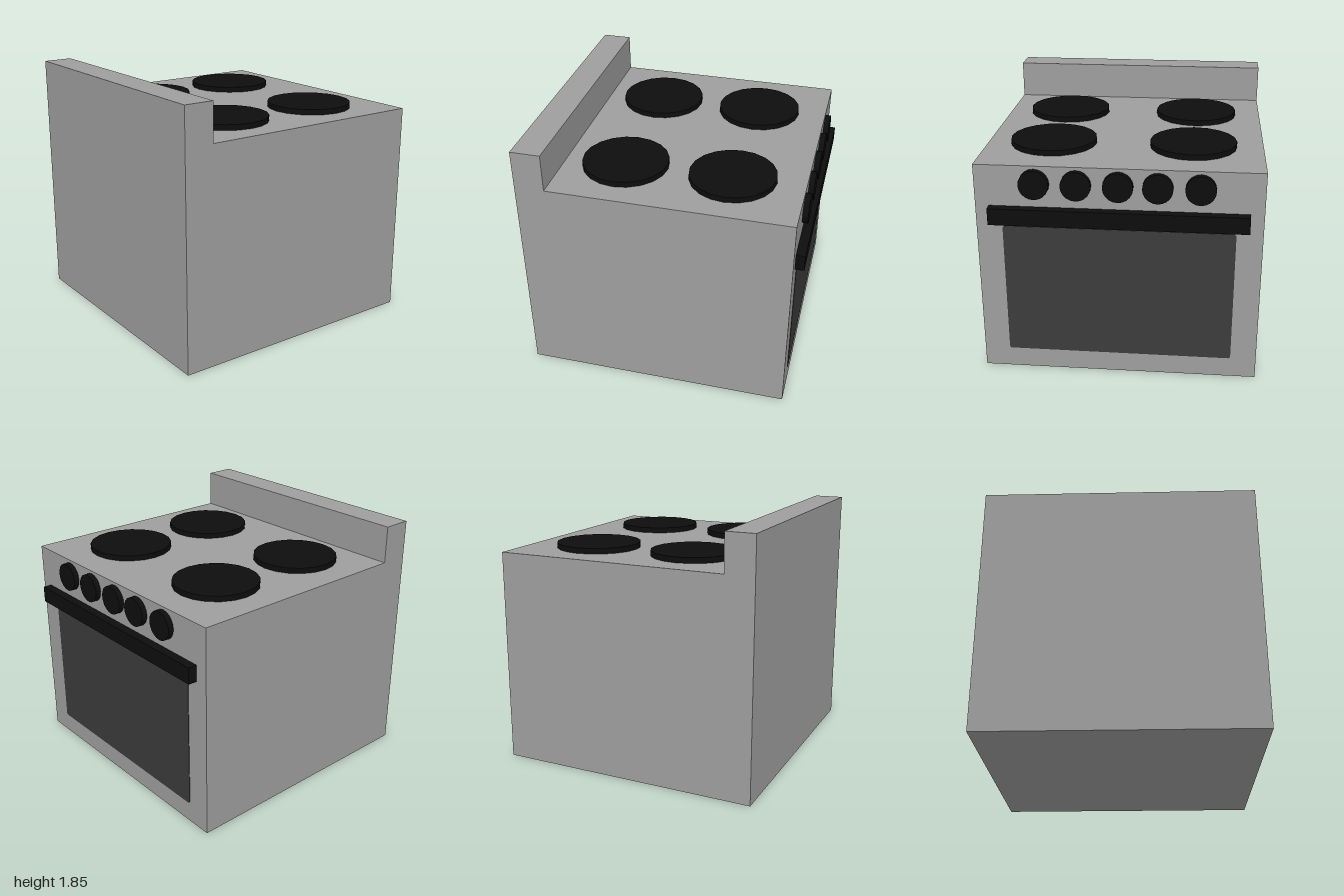
import * as THREE from 'three';

const steel = new THREE.MeshStandardMaterial({ name: 'steel grey', color: 0x9e9e9e });
const black = new THREE.MeshStandardMaterial({ name: 'black', color: 0x0d0d0d });
const glass = new THREE.MeshStandardMaterial({ name: 'dark glass', color: 0x3b3b3b });
for (const m of [steel, black, glass]) m.flatShading = false;

export function createModel() {
  const group = new THREE.Group();
  const add = (name, geometry, material, x = 0, y = 0, z = 0) => {
    const mesh = new THREE.Mesh(geometry, material);
    mesh.name = name;
    mesh.position.set(x, y, z);
    group.add(mesh);
    return mesh;
  };
  const outline = (points) => new THREE.Shape(points.map(([x, y]) => new THREE.Vector2(x, y)));

  const halfWidth = 0.985, face = 0.935, topY = 1.575;

  // Cabinet: side profile with raised backsplash and a step for the oven door
  const profile = outline([
    [-1, 0], [0.85, 0], [0.85, 1.3], [face, 1.3], [face, topY],
    [-0.785, topY], [-0.785, 1.85], [-1, 1.85],
  ]);
  add('cabinet', new THREE.ExtrudeGeometry(profile, { depth: 2 * halfWidth, bevelEnabled: false }),
    steel, 0, 0, -halfWidth);

  // Oven door, flush with the control panel
  add('ovenDoor', new THREE.BoxGeometry(face - 0.85, 1.3, 2 * halfWidth), steel, (face + 0.85) / 2, 0.65, 0);

  // Window: thin plate with clipped corners
  const w = 0.803, h = 0.49, c = 0.012;
  const pane = outline([
    [-w + c, -h], [w - c, -h], [w, -h + c], [w, h - c],
    [w - c, h], [-w + c, h], [-w, h - c], [-w, -h + c],
  ]);
  const ovenWindow = add('ovenWindow', new THREE.ExtrudeGeometry(pane, { depth: 0.004, bevelEnabled: false }),
    glass, face, 0.64, 0);
  ovenWindow.rotation.y = Math.PI / 2;

  // Door handle
  add('doorHandle', new THREE.BoxGeometry(1 - face, 0.12, 1.78), black, (1 + face) / 2, 1.22, 0);

  // Control knobs
  const knobGeometry = new THREE.CylinderGeometry(0.104, 0.104, 0.04, 20).rotateZ(-Math.PI / 2);
  [0.57, 0.285, 0, -0.268, -0.555].forEach((z, i) =>
    add(`controlKnob${i + 1}`, knobGeometry, black, face + 0.02, 1.45, z));

  // Hotplates
  const plateGeometry = new THREE.CylinderGeometry(0.308, 0.308, 0.04, 20);
  for (const x of [-0.35, 0.423])
    for (const z of [-0.488, 0.513])
      add(`${x < 0 ? 'rear' : 'front'}Hotplate${z < 0 ? 'A' : 'B'}`, plateGeometry, black, x, topY + 0.02, z);

  return group;
}
